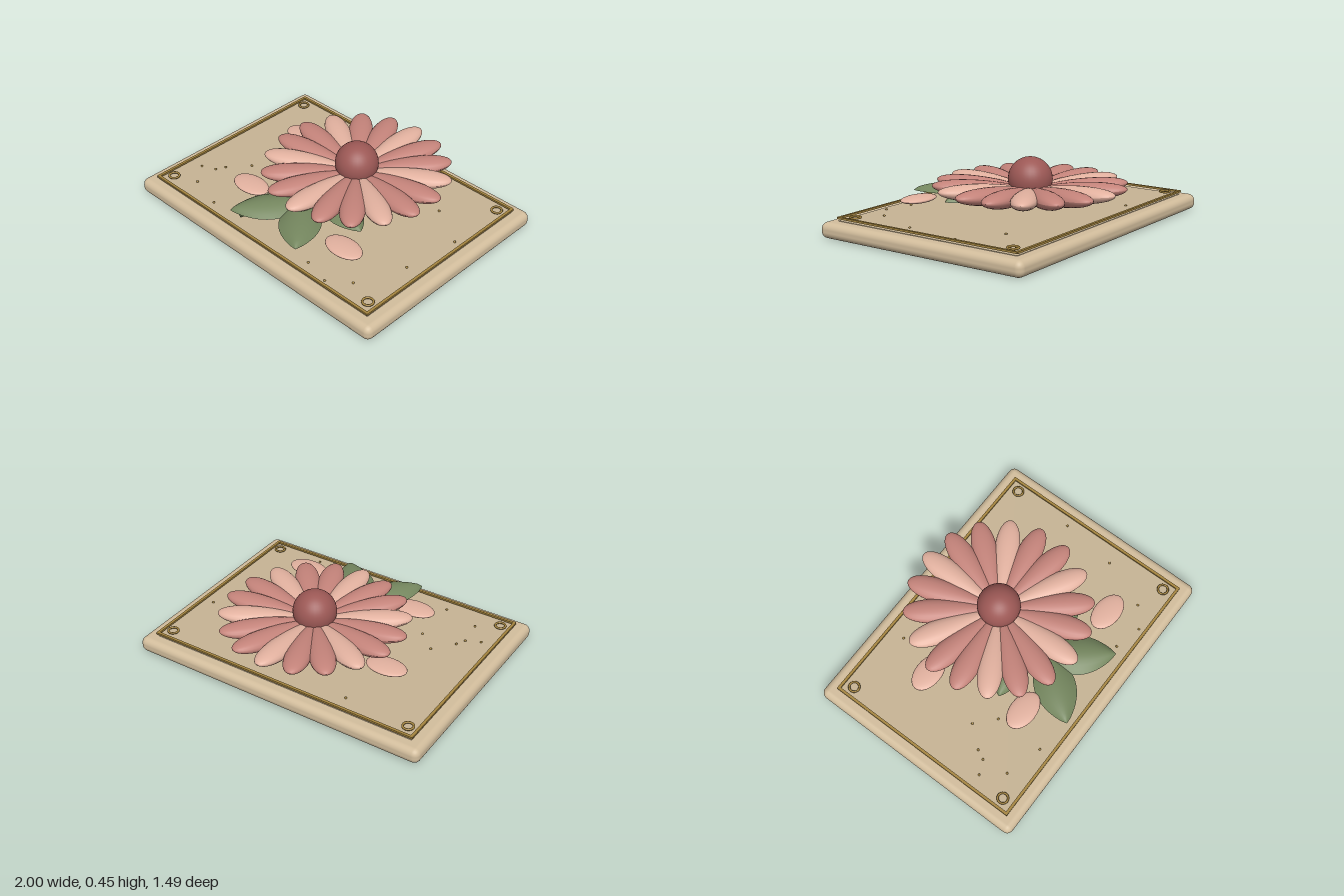
import * as THREE from 'three';
import { RoundedBoxGeometry } from 'three/addons/geometries/RoundedBoxGeometry.js';

const mat = (name, color, side = THREE.FrontSide) => {
  const m = new THREE.MeshStandardMaterial({ color, side });
  m.name = name;
  return m;
};

export function createModel() {
  const model = new THREE.Group();
  const cream = mat('cream', 0xd2bd9c);
  const sand = mat('sand', 0xc6b394);
  const gold = mat('gold', 0xa5853f);
  const rose = mat('rose', 0xc4837a);
  const blush = mat('blush', 0xe2b19f);
  const wine = mat('wine', 0x9c5855);
  const leafGreen = mat('leaf green', 0x74865e, THREE.DoubleSide);
  const stemGreen = mat('stem green', 0x6a7b52);

  const add = (name, geometry, material, x = 0, y = 0, z = 0, parent = model) => {
    const mesh = new THREE.Mesh(geometry, material);
    mesh.name = name;
    mesh.position.set(x, y, z);
    parent.add(mesh);
    return mesh;
  };

  // Rounded plaque with a thin inset panel
  add('plaque', new RoundedBoxGeometry(2, 0.1, 1.475, 3, 0.042), cream, 0, 0.05, 0.003);
  add('panel', new THREE.BoxGeometry(1.83, 0.006, 1.31), sand, 0, 0.1, 0.004);

  // Gold border rails and corner rings
  for (const s of [-1, 1]) {
    add('borderLong', new THREE.BoxGeometry(1.84, 0.012, 0.018), gold, 0, 0.12, 0.004 + s * 0.654);
    add('borderShort', new THREE.BoxGeometry(0.018, 0.012, 1.32), gold, s * 0.913, 0.12, 0.004);
    for (const t of [-1, 1]) {
      const ring = new THREE.TorusGeometry(0.032, 0.007, 8, 28).rotateX(Math.PI / 2);
      add('cornerRing', ring, gold, s * 0.85, 0.122, 0.003 + t * 0.581);
    }
  }

  // Gold flecks scattered over the panel
  const flecks = [
    [-0.59, 0.15], [-0.7, 0.28], [-0.73, 0.34], [-0.82, 0.38], [-0.71, 0.51], [-0.47, 0.26], [-0.47, 0.58],
    [-0.41, -0.54], [0.85, -0.175], [0.8, 0.2], [0.36, 0.57], [0.54, 0.615], [0.67, 0.515], [0.59, -0.34],
  ];
  const fleckGeometry = new THREE.SphereGeometry(0.008, 8, 6);
  for (const [x, z] of flecks) add('fleck', fleckGeometry, gold, x, 0.105, z);

  // Flower head: teardrop petals, every third one pale
  const flower = new THREE.Group();
  flower.name = 'flower';
  flower.position.set(0.07, 0, -0.144);
  model.add(flower);
  const petalGeometry = new THREE.SphereGeometry(1, 20, 24).rotateX(Math.PI / 2);
  const p = petalGeometry.attributes.position;
  for (let i = 0; i < p.count; i++) {
    const z = p.getZ(i);
    p.setXYZ(i, p.getX(i) * 0.075 * (1 + 0.42 * z), p.getY(i) * 0.055, z * 0.301);
  }
  petalGeometry.computeVertexNormals();
  for (let i = 0; i < 18; i++) {
    const turn = new THREE.Group();
    turn.name = 'petalPivot';
    turn.rotation.y = Math.PI + (i * Math.PI) / 9;
    flower.add(turn);
    add('petal', petalGeometry, i % 3 ? rose : blush, 0, 0.252, 0.301, turn).rotation.x = -0.09;
  }
  add('flowerCentre', new THREE.SphereGeometry(0.137, 32, 24), wine, 0, 0.313, 0, flower);

  // Stem from the flower head to the front
  const stemPath = new THREE.LineCurve3(new THREE.Vector3(0.05, 0.2, -0.1), new THREE.Vector3(-0.22, 0.157, 0.585));
  const stemLength = stemPath.getLength();
  const stem = add('stem', new THREE.CylinderGeometry(0.025, 0.025, stemLength, 14), stemGreen);
  stem.position.copy(stemPath.getPoint(0.5));
  stem.quaternion.setFromUnitVectors(new THREE.Vector3(0, 1, 0), stemPath.getTangent(0));

  // Arched leaf blade from base to pointed tip
  const leafGeometry = (length, width) => {
    const g = new THREE.PlaneGeometry(2, 1, 10, 20);
    const a = g.attributes.position;
    for (let i = 0; i < a.count; i++) {
      const s = a.getX(i), t = 0.5 - a.getY(i);
      const half = width * Math.pow(Math.sin(Math.PI * Math.pow(t, 1.1)), 0.8);
      const arch = 0.05 * Math.sqrt(Math.max(0, Math.sin(Math.PI * t))) * (1 - s * s);
      a.setXYZ(i, s * half, arch, t * length);
    }
    g.computeVertexNormals();
    return g;
  };
  const leaves = [
    [0.06, 0.2, -0.258, 0.625, 0.13],
    [-0.04, 0.2, 0.29, 0.605, 0.13],
    [0.03, 0.1, 0.45, 0.22, 0.11],
    [0.03, 0.06, -0.37, 0.19, 0.1],
  ];
  for (const [x0, z0, x1, z1, width] of leaves) {
    const leaf = add('leaf', leafGeometry(Math.hypot(x1 - x0, z1 - z0), width), leafGreen, x0, 0.185, z0);
    leaf.rotation.y = Math.atan2(x1 - x0, z1 - z0);
  }

  // Fallen petals lying around the flower
  const fallenGeometry = new THREE.SphereGeometry(1, 24, 16).scale(0.135, 0.022, 0.084);
  for (const [x, z, turn] of [[-0.51, -0.25, 0], [-0.353, 0.364, 0], [0.484, 0.4, -0.05]]) {
    add('fallenPetal', fallenGeometry, blush, x, 0.192, z).rotation.y = turn;
  }
  return model;
}
